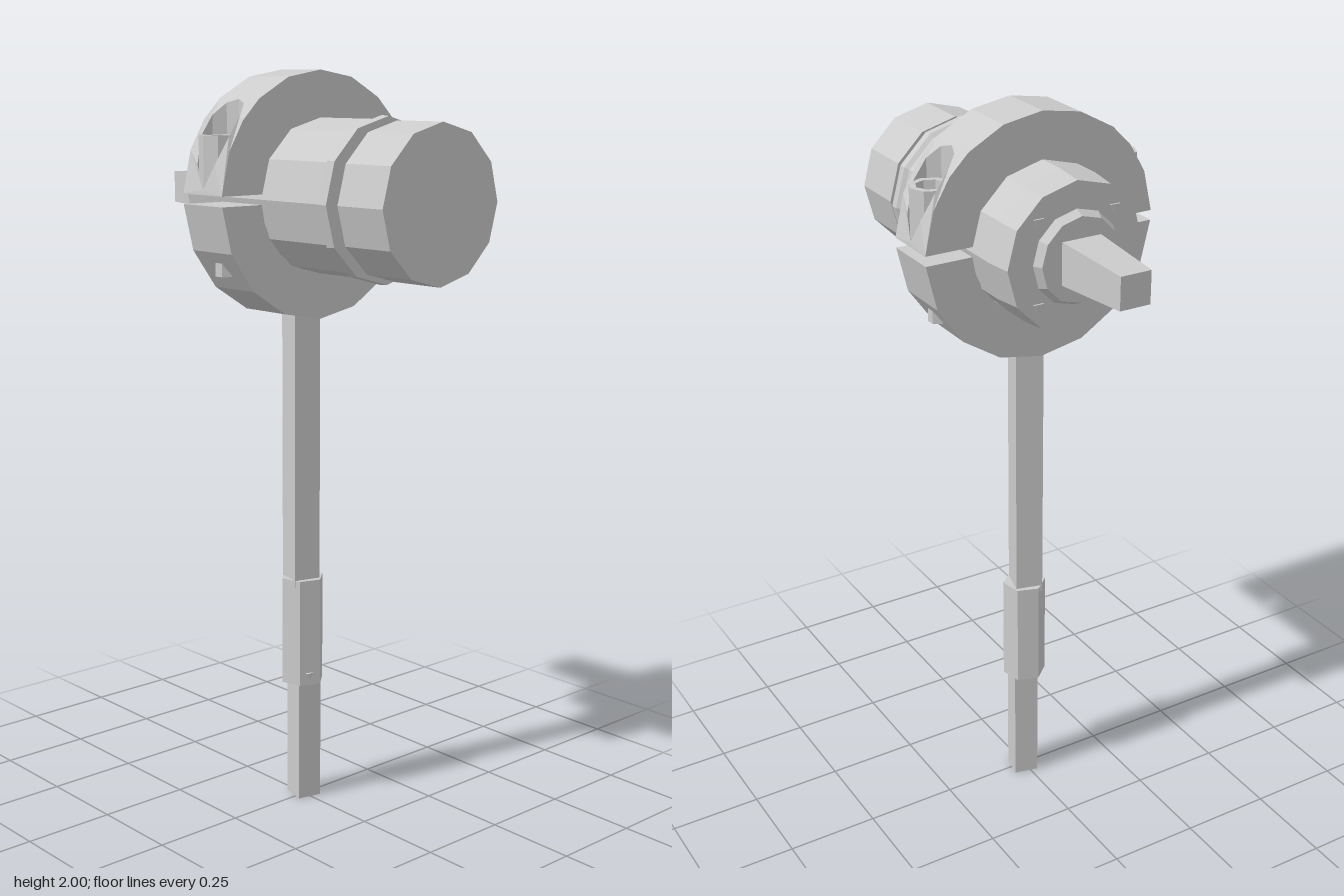
import * as THREE from 'three';

const AXIS_Y = 1.68; // height of the barrel axis
const CLAMP_Z = -0.0125, CLAMP_W = 0.155, R = 0.32, GAP = 0.013;

export function createModel() {
  const model = new THREE.Group();
  const mat = new THREE.MeshStandardMaterial({ color: 0xcccccc, flatShading: true, side: THREE.DoubleSide });
  const add = (name, geo, x = 0, y = 0, z = 0, parent = model) => {
    const mesh = new THREE.Mesh(geo, mat);
    mesh.name = name;
    mesh.position.set(x, y, z);
    parent.add(mesh);
    return mesh;
  };
  const lathe = (pts, sides) =>
    new THREE.LatheGeometry(pts.map(p => new THREE.Vector2(p[0], p[1])), sides);

  // Barrel, turned about the z axis: rear nub, body, flange, neck, front cap
  const barrel = lathe([
    [0, -0.27], [0.11, -0.27], [0.122, -0.247], [0.192, -0.247], [0.2, -0.17],
    [0.2, 0.28], [0.21, 0.29], [0.208, 0.315], [0.14, 0.315], [0.152, 0.345],
    [0.198, 0.345], [0.198, 0.5], [0, 0.5],
  ], 12);
  barrel.rotateX(Math.PI / 2);
  add('barrel', barrel, 0, AXIS_Y, 0);

  // Square cable leaving the rear, thinner at its end
  const cable = new THREE.CylinderGeometry(0.078, 0.06, 0.235, 4);
  cable.rotateY(Math.PI / 4).rotateX(Math.PI / 2);
  add('cable', cable, 0, AXIS_Y, -0.3825);

  // Small screws on the rear face
  for (let i = 0; i < 4; i++) {
    const a = Math.PI / 4 + i * Math.PI / 2;
    const screw = new THREE.CylinderGeometry(0.016, 0.016, 0.012, 3);
    screw.rotateX(Math.PI / 2);
    add('rearScrew', screw, 0.152 * Math.cos(a), AXIS_Y + 0.152 * Math.sin(a), -0.246);
  }

  // Clamp around the barrel, split into two halves
  const clamp = new THREE.Group();
  clamp.name = 'clamp';
  clamp.position.set(0, AXIS_Y, CLAMP_Z);
  clamp.scale.x = 1.02;
  model.add(clamp);
  const arc = (r, a0, a1, n) => Array.from({ length: n + 1 }, (_, i) => {
    const a = a0 + (a1 - a0) * i / n;
    return new THREE.Vector2(r * Math.cos(a), r * Math.sin(a));
  });
  const slab = pts => new THREE.ExtrudeGeometry(new THREE.Shape(pts),
    { depth: CLAMP_W, bevelEnabled: false }).translate(0, 0, -CLAMP_W / 2);

  // Lower half ring
  const g = Math.asin(GAP / R), gi = Math.asin(GAP / 0.195);
  add('lowerClamp', slab([
    ...arc(R, -Math.PI + g, -g, 8), ...arc(0.195, -gi, -Math.PI + gi, 12),
  ]), 0, 0, 0, clamp);

  // Crown of the upper half, between the two bolt ears
  const earX = 0.2, a0 = Math.acos(earX / R);
  add('upperClamp', slab([
    ...arc(R, a0, Math.PI - a0, 4),
    new THREE.Vector2(-earX, GAP), ...arc(0.19, Math.PI - 0.07, 0.07, 12),
    new THREE.Vector2(earX, GAP),
  ]), 0, 0, 0, clamp);

  // Ear with a vertical bolt pocket, its top following the ring outline
  const earGeometry = () => {
    const xs = [earX, 0.252, 0.296, R], w = CLAMP_W / 2;
    const shape = new THREE.Shape([
      ...xs.map(x => new THREE.Vector2(x, -w)),
      ...xs.slice().reverse().map(x => new THREE.Vector2(x, w)),
    ]);
    shape.holes.push(new THREE.Path(
      arc(0.058, 0, -2 * Math.PI, 10).slice(0, 10).map(p => p.add(new THREE.Vector2(0.261, 0)))));
    const geo = new THREE.ExtrudeGeometry(shape, { depth: 1, bevelEnabled: false });
    geo.rotateX(-Math.PI / 2);
    const p = geo.attributes.position;
    for (let i = 0; i < p.count; i++) {
      const x = p.getX(i);
      const top = Math.sqrt(Math.max(0, R * R - x * x));
      p.setY(i, p.getY(i) > 0.5 ? Math.max(top, GAP + 0.002) : GAP);
    }
    geo.computeVertexNormals();
    return geo;
  };
  for (const turn of [0, Math.PI]) {
    const side = new THREE.Group();
    side.name = turn ? 'rightBoltSide' : 'leftBoltSide';
    side.rotation.y = turn;
    clamp.add(side);
    add('ear', earGeometry(), 0, 0, 0, side);
    // Socket head bolt in the pocket and its end below
    add('boltHead', lathe([
      [0, GAP], [0.055, GAP], [0.055, 0.16], [0.038, 0.16], [0.032, 0.08], [0, 0.08],
    ], 8), 0.261, 0, 0, side);
    add('boltEnd', new THREE.CylinderGeometry(0.025, 0.025, 0.16, 6), 0.25, -0.115, 0, side);
  }

  // Post: two slightly turned square rods joined by a hexagonal collar
  const upperPost = add('upperPost', new THREE.BoxGeometry(0.075, 0.76, 0.075), -0.003, 1.0, -0.007);
  upperPost.rotation.y = -0.25;
  const lowerPost = add('lowerPost', new THREE.BoxGeometry(0.068, 0.36, 0.068), 0.005, 0.18, -0.005);
  lowerPost.rotation.y = -0.22;
  const collar = add('collar', new THREE.CylinderGeometry(0.06, 0.06, 0.3, 6), 0, 0.49, -0.005);
  collar.rotation.y = 0.2;
  const pin = new THREE.CylinderGeometry(0.011, 0.011, 0.02, 3);
  pin.rotateX(Math.PI / 2);
  add('collarPin', pin, -0.02, 0.37, 0.04);

  return model;
}
